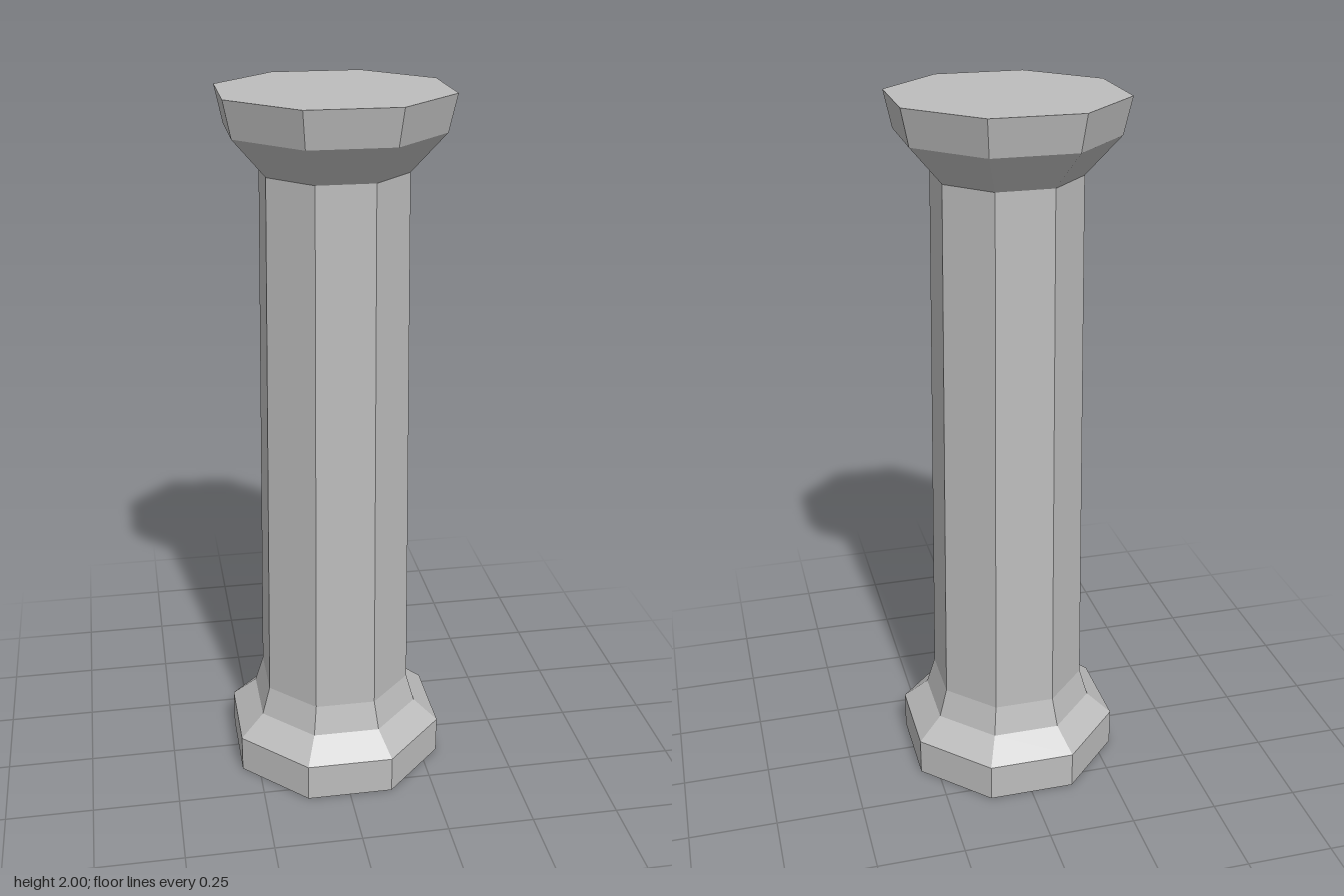
import * as THREE from 'three';

export function createModel() {
  const stone = new THREE.MeshStandardMaterial({ color: 0xbcbcbc, flatShading: true, side: THREE.DoubleSide });
  stone.name = 'grey stone';
  const group = new THREE.Group();
  group.name = 'column';

  // Eight-sided ring of faces; each profile point is [distance to flat side, height]
  const octagon = (name, profile) => {
    const points = profile.map(([r, y]) => new THREE.Vector2(r / Math.cos(Math.PI / 8), y));
    const mesh = new THREE.Mesh(new THREE.LatheGeometry(points, 8, Math.PI / 8), stone);
    mesh.name = name;
    group.add(mesh);
  };

  // Hollow base, open underneath
  octagon('base', [[0.3, 0], [0.3, 0.11], [0.232, 0.172]]);
  // Tapering shaft with a flared foot
  octagon('shaft', [[0.232, 0.172], [0.209, 0.255], [0.19, 1.793]]);
  // Capital with a flat closed top
  octagon('capital', [[0.19, 1.793], [0.279, 1.9], [0.3, 2], [0, 2]]);

  return group;
}
